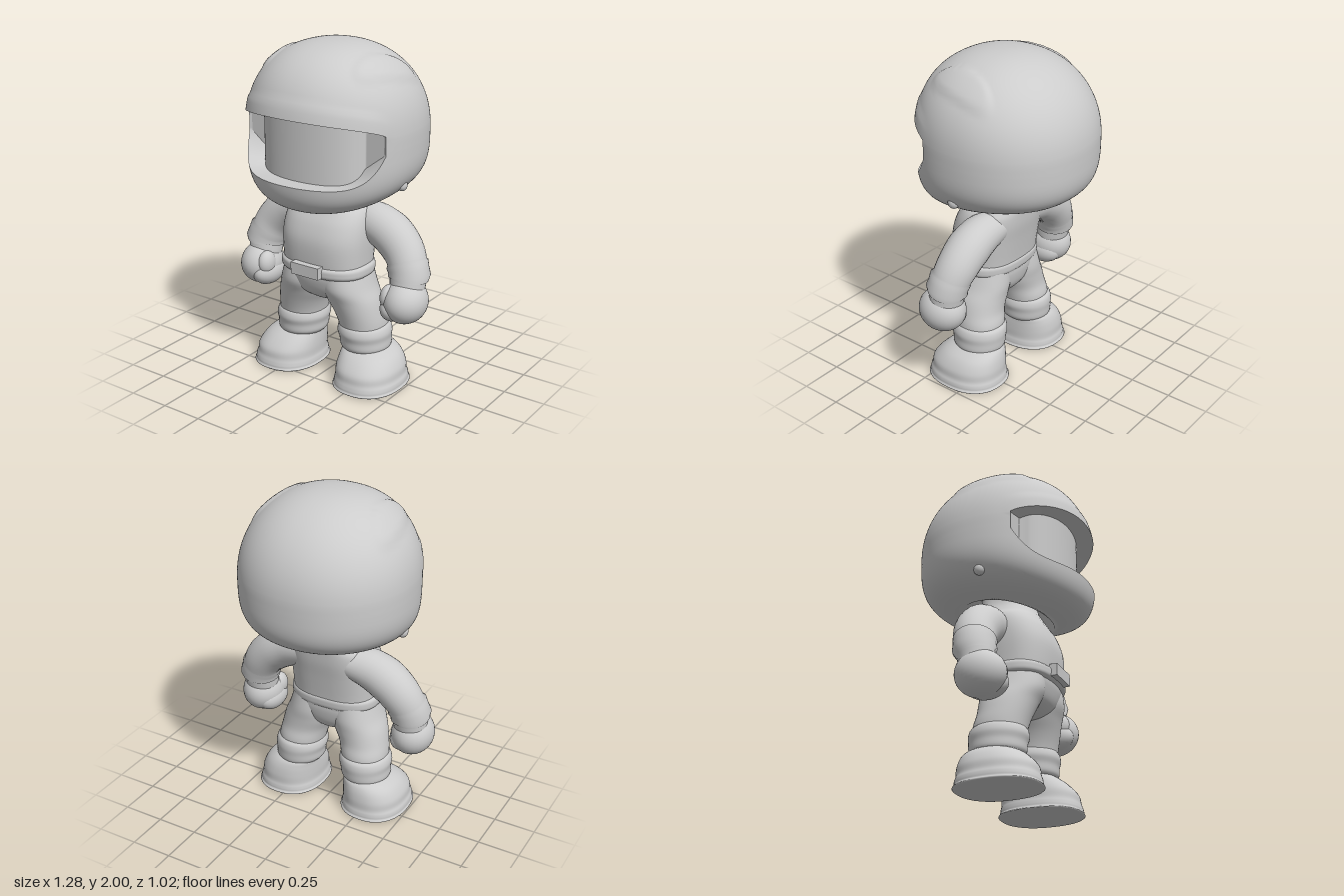
import * as THREE from 'three';

const grey = new THREE.MeshStandardMaterial({ color: 0xcccccc, side: THREE.DoubleSide });
grey.name = 'plain grey';

const clamp = (v) => Math.min(1, Math.max(0, v));
const smooth = (v) => { v = clamp(v); return v * v * (3 - 2 * v); };
const spow = (v, e) => Math.sign(v) * Math.abs(v) ** e;

function mesh(name, geometry, parent) {
  const m = new THREE.Mesh(geometry, grey);
  m.name = name;
  parent.add(m);
  return m;
}

// Surface through a grid of points; skip(i, j) leaves a hole
function gridGeometry(rows, wrap, skip = () => false) {
  const n = rows[0].length, index = [];
  for (let i = 0; i < rows.length - 1; i++) {
    for (let j = 0; j < (wrap ? n : n - 1); j++) {
      if (skip(i, j)) continue;
      const k = (j + 1) % n, a = i * n + j, b = i * n + k;
      index.push(a, b, a + n, b, b + n, a + n);
    }
  }
  const g = new THREE.BufferGeometry().setFromPoints(rows.flat());
  g.setIndex(index);
  g.computeVertexNormals();
  return g;
}

// Smooth stack of rounded rings, bottom to top: [y, centre x, half width, front z, back z]
function loft(sections, power = 2, steps = 5) {
  const rows = [], last = sections.length - 1;
  for (let s = 0; s <= last * steps; s++) {
    const i = Math.min(Math.floor(s / steps), last - 1), t = s / steps - i;
    const at = (k) => sections[Math.min(last, Math.max(0, k))];
    const [y, cx, hw, zf, zb] = sections[0].map((_, c) => {
      const p0 = at(i - 1)[c], p1 = at(i)[c], p2 = at(i + 1)[c], p3 = at(i + 2)[c];
      return p1 + 0.5 * t * (p2 - p0 + t * (2 * p0 - 5 * p1 + 4 * p2 - p3 + t * (3 * (p1 - p2) + p3 - p0)));
    });
    const ring = [];
    for (let j = 0; j < 40; j++) {
      const a = j / 40 * Math.PI * 2;
      ring.push(new THREE.Vector3(
        cx + hw * spow(Math.sin(a), 2 / power), y,
        (zf + zb) / 2 + (zf - zb) / 2 * spow(Math.cos(a), 2 / power)));
    }
    rows.push(ring);
  }
  return gridGeometry(rows, true);
}

// Tube whose radius follows a list: [x, y, z, radius]
function limb(points) {
  const curve = new THREE.CatmullRomCurve3(points.map((p) => new THREE.Vector3(p[0], p[1], p[2])));
  const seg = 28, sides = 28;
  const g = new THREE.TubeGeometry(curve, seg, 1, sides);
  const pos = g.attributes.position, v = new THREE.Vector3();
  for (let i = 0; i < pos.count; i++) {
    const t = Math.floor(i / (sides + 1)) / seg, c = curve.getPointAt(t);
    const f = t * (points.length - 1), k = Math.min(Math.floor(f), points.length - 2);
    const r = THREE.MathUtils.lerp(points[k][3], points[k + 1][3], f - k);
    v.fromBufferAttribute(pos, i).sub(c).multiplyScalar(r).add(c);
    pos.setXYZ(i, v.x, v.y, v.z);
  }
  return g;
}

// Upper and lower edge of the face opening, by depth z
const openDepth = (z) => clamp((z - 0.22) / 0.29);
const browY = (z) => 1.55 + 0.09 * openDepth(z) ** 0.7;
const chinY = (z) => 1.27 + 0.19 * (1 - openDepth(z)) ** 3;

const COLS = 144, HALF_OPEN = 26, LOW = 20, MID = 8, HIGH = 28;

// One helmet column from the neck lining up to the crown
function helmetColumn(theta) {
  const c = Math.cos(theta), s = Math.sin(theta), e = 0.94;
  const place = (r, y) => {
    const x = 0.51 * r * spow(s, e), z = 0.51 * r * spow(c, e);
    // raised vents on the crown and the thicker brow
    const across = (Math.abs(x) - 0.35 + 0.18 * z) / 0.08;
    const vent = y > 1.7 ? smooth(2 * (1 - across ** 2 - ((z - 0.05) / 0.25) ** 2)) : 0;
    const brow = y > 1.54 ? smooth((1.62 + 0.13 * c - y) / 0.03) * smooth((c - 0.3) * 3) : 0;
    const k = 1 + 0.014 * vent + 0.014 * brow;
    return new THREE.Vector3(x * k, y + 0.01 * vent, z * k);
  };
  const pU = 2.22 + 0.18 * c, pL = 3.5 + 0.9 * c * c + 0.6 * c, b = 0.375 + 0.044 * c + 0.011 * c * c;
  const depth = 0.51 * spow(c, e), yB = chinY(depth), yT = browY(depth);
  const col = [place(0.3, 1.24), place(0.42, 1.19)];
  const end = Math.acos(0.52 ** (pL / 2)), start = Math.asin(((1.5 - yB) / b) ** (pL / 2));
  for (let i = 0; i <= LOW; i++) {
    const a = end + (start - end) * i / LOW;
    col.push(place(Math.cos(a) ** (2 / pL), 1.5 - b * Math.sin(a) ** (2 / pL)));
  }
  for (let i = 1; i < MID; i++) {
    const y = yB + (yT - yB) * i / MID;
    const [u, p] = y > 1.5 ? [(y - 1.5) / 0.5, pU] : [(1.5 - y) / b, pL];
    col.push(place((1 - u ** p) ** (1 / p), y));
  }
  const low = Math.asin(((yT - 1.5) / 0.5) ** (pU / 2));
  for (let i = 0; i <= HIGH; i++) {
    const a = low + (Math.PI / 2 - low) * i / HIGH;
    col.push(place(Math.max(0, Math.cos(a)) ** (2 / pU), 1.5 + 0.5 * Math.sin(a) ** (2 / pU)));
  }
  return col;
}

function buildHelmet(parent) {
  const helmet = new THREE.Group();
  helmet.name = 'helmet';
  parent.add(helmet);
  const cols = [];
  for (let j = 0; j < COLS; j++) cols.push(helmetColumn((j / COLS * 2 - 1) * Math.PI));
  const rows = cols[0].map((_, i) => cols.map((col) => col[i]));
  const first = COLS / 2 - HALF_OPEN, last = COLS / 2 + HALF_OPEN, bottom = LOW + 2, top = bottom + MID;
  mesh('helmetShell', gridGeometry(rows, true,
    (i, j) => i >= bottom && i < top && j >= first && j < last), helmet);

  // inward wall all round the opening
  const edge = [];
  for (let j = first; j <= last; j++) edge.push(rows[bottom][j]);
  for (let i = bottom + 1; i < top; i++) edge.push(rows[i][last]);
  for (let j = last; j >= first; j--) edge.push(rows[top][j]);
  for (let i = top - 1; i > bottom; i--) edge.push(rows[i][first]);
  const inset = (k) => edge.map((p) => new THREE.Vector3(p.x * k, p.y, p.z * k));
  mesh('openingRim', gridGeometry([edge, inset(0.85), inset(0.45)], true), helmet);

  // face insert: rounded visor between flat side pads
  const face = [];
  for (let i = 0; i <= 12; i++) {
    const row = [];
    for (let j = 0; j <= 90; j++) {
      const x = -0.45 + j * 0.01, ax = Math.abs(x);
      const zEdge = 0.51 * (1 - (ax / 0.51) ** 2.13) ** 0.47;
      const y = THREE.MathUtils.lerp(chinY(zEdge) - 0.01, browY(zEdge) + 0.01, i / 12);
      row.push(new THREE.Vector3(x, y, 0.22 + 0.18 * Math.sqrt(Math.max(0, 1 - (ax / 0.33) ** 2))));
    }
    face.push(row);
  }
  mesh('faceInsert', gridGeometry(face, false), helmet);

  // strap knobs
  for (const s of [-1, 1]) {
    const knob = mesh('strapKnob', new THREE.SphereGeometry(0.035, 16, 12), helmet);
    knob.position.set(s * 0.45, 1.235, 0.03);
    knob.scale.set(0.8, 1, 1);
  }
}

function buildSide(name) {
  const side = new THREE.Group();
  side.name = name;
  // leg, boot cuff and boot
  mesh('leg', loft([
    [0.25, 0.225, 0.13, 0.18, -0.09], [0.36, 0.215, 0.142, 0.2, -0.1], [0.44, 0.197, 0.148, 0.22, -0.085],
    [0.52, 0.168, 0.158, 0.245, -0.085], [0.6, 0.143, 0.15, 0.275, -0.09], [0.7, 0.125, 0.138, 0.27, -0.08]], 2.1), side);
  mesh('legCuff', loft([
    [0.2, 0.23, 0.13, 0.18, -0.1], [0.225, 0.228, 0.148, 0.2, -0.115], [0.27, 0.225, 0.151, 0.205, -0.12],
    [0.31, 0.222, 0.158, 0.215, -0.123], [0.345, 0.22, 0.15, 0.208, -0.115], [0.365, 0.217, 0.135, 0.192, -0.092]]), side);
  mesh('boot', loft([
    [0, 0.29, 0, 0.08, 0.08], [0, 0.29, 0.19, 0.3, -0.148], [0.02, 0.29, 0.199, 0.314, -0.158],
    [0.045, 0.29, 0.197, 0.31, -0.156], [0.07, 0.288, 0.19, 0.302, -0.15], [0.12, 0.284, 0.186, 0.29, -0.148],
    [0.18, 0.267, 0.165, 0.235, -0.135], [0.22, 0.24, 0.13, 0.17, -0.11], [0.24, 0.23, 0.08, 0.1, -0.05]], 2.3), side);
  // arm, sleeve cuff and fist
  mesh('arm', limb([
    [0.15, 0.985, -0.02, 0.095], [0.27, 0.965, -0.005, 0.118], [0.37, 0.92, 0, 0.126],
    [0.455, 0.84, 0.01, 0.12], [0.5, 0.75, 0.03, 0.11], [0.51, 0.64, 0.05, 0.1]]), side);
  mesh('sleeveCuff', limb([
    [0.48, 0.805, 0.022, 0.1], [0.49, 0.78, 0.027, 0.121], [0.505, 0.745, 0.033, 0.117],
    [0.515, 0.705, 0.04, 0.121], [0.517, 0.68, 0.045, 0.1]]), side);
  const balls = [
    ['fist', 0.515, 0.57, 0.075, 0.125, 0.13, 0.145],
    ['fingers', 0.46, 0.53, 0.085, 0.08, 0.085, 0.125],
    ['thumb', 0.44, 0.595, 0.13, 0.05, 0.075, 0.065]];
  for (const [part, x, y, z, sx, sy, sz] of balls) {
    const ball = mesh(part, new THREE.SphereGeometry(1, 32, 22), side);
    ball.position.set(x, y, z);
    ball.scale.set(sx, sy, sz);
  }
  return side;
}

export function createModel() {
  const model = new THREE.Group();
  model.name = 'helmetedFigure';
  buildHelmet(model);

  mesh('torso', loft([
    [0.66, 0, 0.262, 0.285, -0.09], [0.75, 0, 0.265, 0.3, -0.1], [0.88, 0, 0.27, 0.303, -0.12],
    [0.98, 0, 0.265, 0.275, -0.138], [1.05, 0, 0.245, 0.235, -0.145], [1.1, 0, 0.2, 0.205, -0.148],
    [1.17, 0, 0.165, 0.17, -0.145], [1.3, 0, 0.15, 0.15, -0.14]], 2.6), model);
  mesh('hips', loft([
    [0.485, 0, 0.02, 0.12, 0.02], [0.505, 0, 0.11, 0.19, -0.03], [0.56, 0, 0.21, 0.255, -0.07],
    [0.64, 0, 0.265, 0.285, -0.09], [0.7, 0, 0.268, 0.29, -0.09]], 2.3), model);
  mesh('belt', loft([
    [0.66, 0, 0.255, 0.275, -0.08], [0.68, 0, 0.277, 0.305, -0.098], [0.705, 0, 0.281, 0.311, -0.103],
    [0.73, 0, 0.277, 0.308, -0.102], [0.75, 0, 0.255, 0.28, -0.085]], 2.5), model);
  mesh('beltBuckle', new THREE.BoxGeometry(0.19, 0.07, 0.06), model).position.set(0, 0.718, 0.31);

  const left = buildSide('leftLimbs'), right = buildSide('rightLimbs');
  right.scale.x = -1;
  model.add(left, right);
  return model;
}
